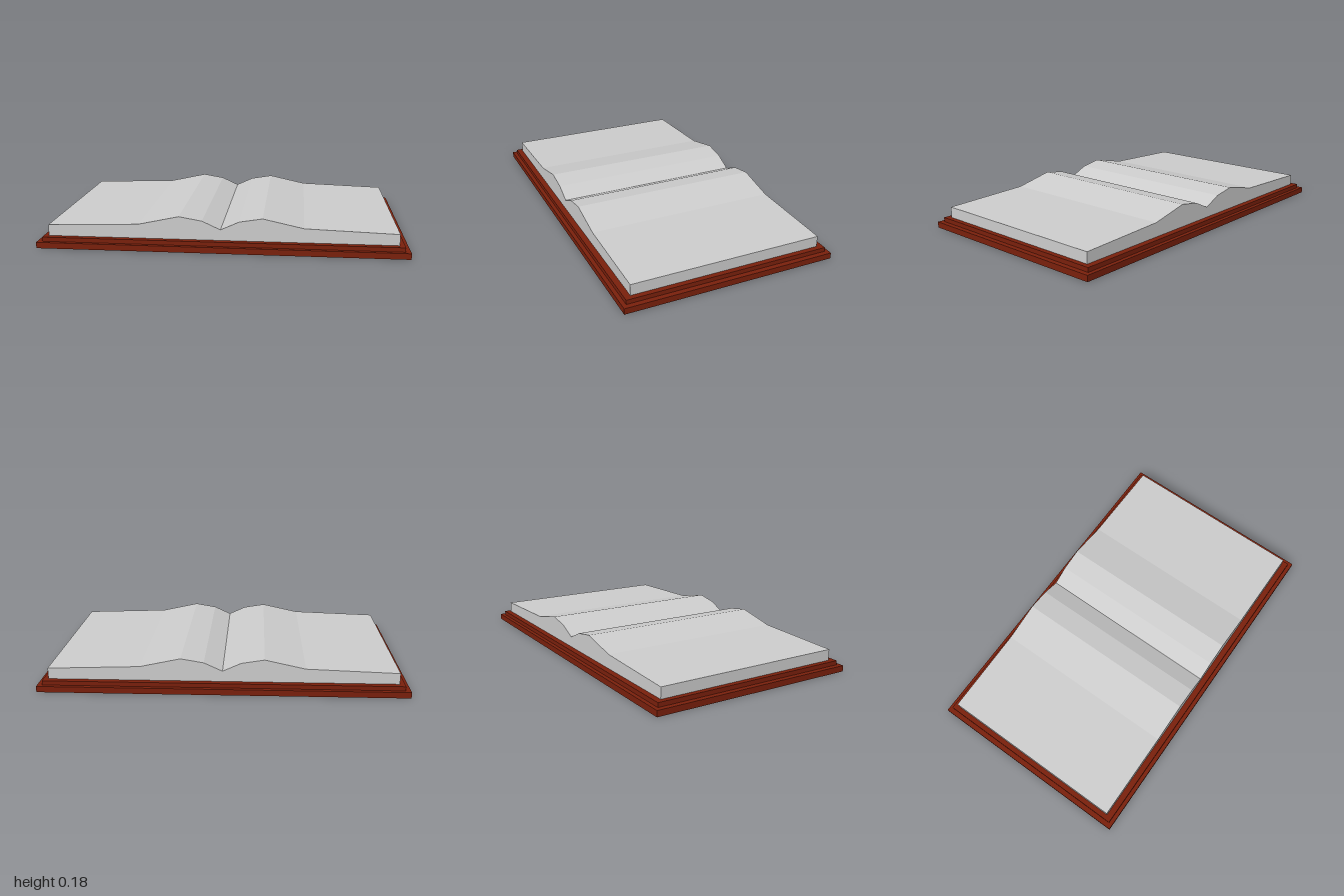
import * as THREE from 'three';

export function createModel() {
  const model = new THREE.Group();
  model.name = 'openBook';

  const coverRed = new THREE.MeshStandardMaterial({ color: 0x7a200c });
  coverRed.name = 'coverRed';
  const pageGrey = new THREE.MeshStandardMaterial({ color: 0xcccccc });
  pageGrey.name = 'pageGrey';

  // Stepped cover: a wide board with a slightly smaller one on top
  const addBoard = (name, width, depth, bottom, top) => {
    const board = new THREE.Mesh(new THREE.BoxGeometry(width, top - bottom, depth), coverRed);
    board.position.y = (bottom + top) / 2;
    board.name = name;
    model.add(board);
  };
  addBoard('coverBoard', 2, 1.18, 0, 0.033);
  addBoard('innerBoard', 1.945, 1.136, 0.033, 0.057);

  // Page block: half profile from gutter to outer edge, mirrored and extruded
  const half = [[0.1, 0.162], [0.225, 0.183], [0.445, 0.135], [0.945, 0.118], [0.945, 0.057]];
  const mirrored = half.map(([x, y]) => [-x, y]).reverse();
  const outline = [...mirrored, [0, 0.116], ...half].map(([x, y]) => new THREE.Vector2(x, y));
  const depth = 1.07;
  const geometry = new THREE.ExtrudeGeometry(new THREE.Shape(outline), { depth, bevelEnabled: false });
  geometry.translate(0, 0, -depth / 2);
  const pages = new THREE.Mesh(geometry, pageGrey);
  pages.name = 'pages';
  model.add(pages);

  return model;
}
